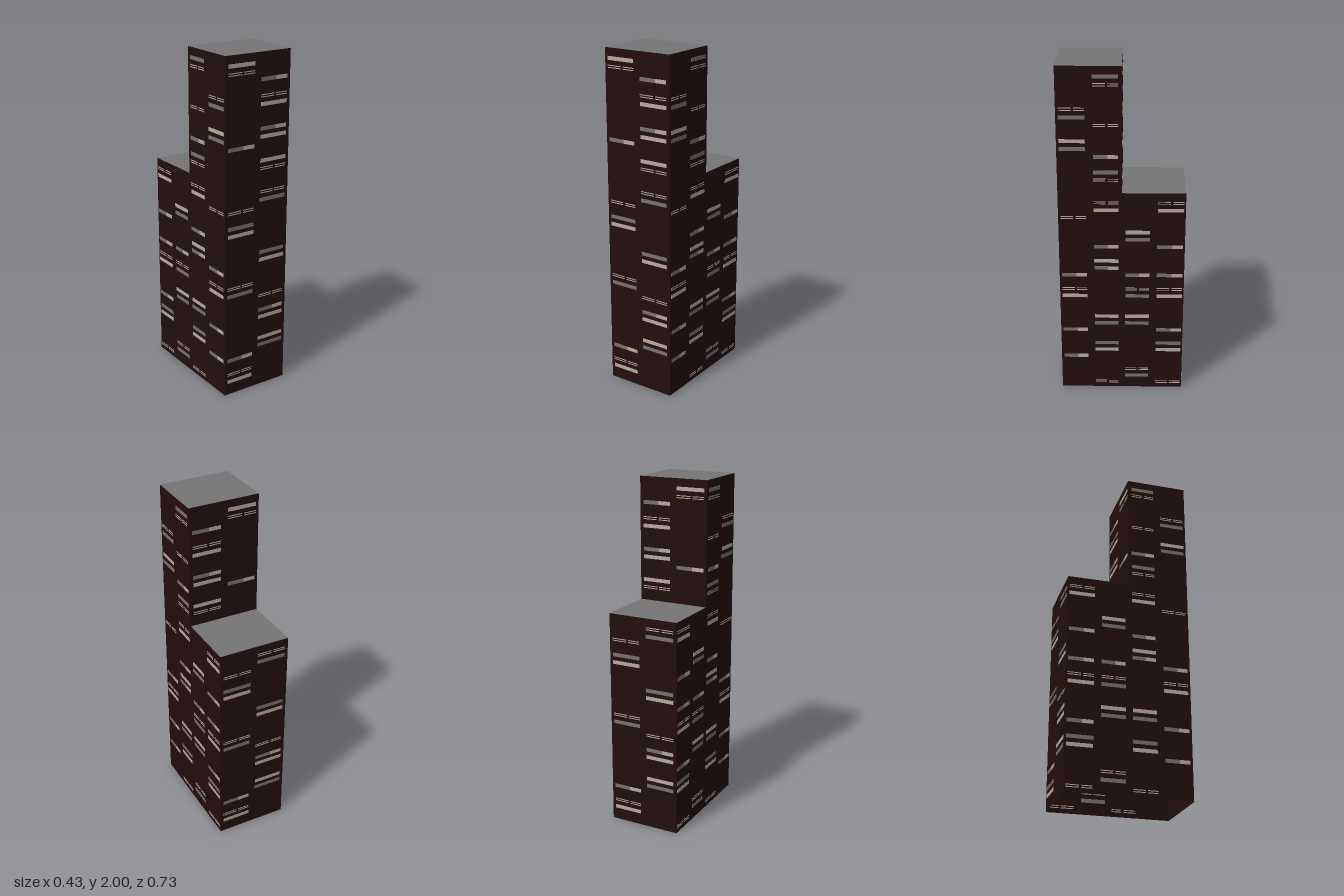
import * as THREE from 'three';
import { mergeGeometries } from 'three/addons/utils/BufferGeometryUtils.js';

const W = 0.213, D = 0.362, TALL = 2, LOW = 1.275;
const ROW = 0.0454, ROW0 = 0.036, BAR = 0.022;

// Lit window rows per column: row number + l (bright), g (grey), m (grey then bright), t (two thin lines)
const columns = {
  frontA: '42l 41t 32m 24t 22g 21l 14t 13g 4m 2t 1l',
  frontB: '40m 38t 37l 34m 33l 30l 29t 26t 25g 18g 17l 12t 10m 9l 6l 5g',
  sideA: '38t 37g 34l 33g 24t 16m 14t 13l 8m 4m',
  sideB: '42g 41t 36t 32m 30g 29t 26t 25l 20m 18l 17m 10l 9g 6g 5l 0t',
  sideC: '22l 21g 16m 14t 13g 10l 9g 2t 1g',
  sideD: '26t 25l 20m 16m 14t 13l 8m 6g 5l 0t',
};

export function createModel() {
  const group = new THREE.Group();
  const material = (name, color, side = THREE.FrontSide) => {
    const m = new THREE.MeshStandardMaterial({ color, side });
    m.name = name;
    return m;
  };
  const wallMat = material('dark brown wall', 0x230e0e, THREE.DoubleSide);
  const roofMat = material('grey roof', 0x767575, THREE.DoubleSide);
  const brightMat = material('bright window', 0xb9aaa0);
  const greyMat = material('grey window', 0x777272);

  const add = (name, geometry, mat, parent = group) => {
    const mesh = new THREE.Mesh(geometry, mat);
    mesh.name = name;
    parent.add(mesh);
    return mesh;
  };

  // Thin window plates of one facade, drawn in its own plane; cols: [key, left, right]
  function windows(name, cols, minY = 0, maxY = TALL) {
    const bright = [], grey = [];
    const bar = (list, x0, x1, y, h) =>
      list.push(new THREE.BoxGeometry(x1 - x0, h, 0.003).translate((x0 + x1) / 2, y, 0));
    for (const [key, x0, x1] of cols) {
      for (const item of columns[key].split(' ')) {
        const type = item.slice(-1), y = ROW0 + parseInt(item) * ROW;
        if (y < minY || y > maxY) continue;
        const split = x0 + (x1 - x0) * 0.58;
        if (type === 'l') bar(bright, x0, x1, y, BAR);
        if (type === 'g') bar(grey, x0, x1, y, BAR);
        if (type === 'm') {
          bar(grey, x0, split, y, BAR);
          bar(bright, split, x1, y, BAR);
        }
        if (type === 't') {
          for (const dy of [-0.006, 0.006]) {
            bar(bright, x0, split - 0.012, y + dy, 0.005);
            bar(bright, split, x1, y + dy, 0.005);
          }
        }
      }
    }
    const facade = new THREE.Group();
    facade.name = name;
    add('brightWindows', mergeGeometries(bright), brightMat, facade);
    add('greyWindows', mergeGeometries(grey), greyMat, facade);
    group.add(facade);
    return facade;
  }

  // Front and rear walls
  const crossWall = (name, y0, y1, z, back) => {
    const g = new THREE.PlaneGeometry(2 * W, y1 - y0);
    if (back) g.rotateY(Math.PI);
    add(name, g.translate(0, (y0 + y1) / 2, z), wallMat);
  };
  crossWall('frontWall', 0, TALL, D, false);
  crossWall('upperBackWall', LOW, TALL, 0, true);
  crossWall('lowerBackWall', 0, LOW, -D, true);

  // Stepped side walls, horizontal axis runs from front to back
  const step = new THREE.Shape([[-D, 0], [D, 0], [D, LOW], [0, LOW], [0, TALL], [-D, TALL]]
    .map(([x, y]) => new THREE.Vector2(x, y)));
  const rightGeo = new THREE.ShapeGeometry(step).rotateY(Math.PI / 2).translate(W, 0, 0);
  add('leftWall', rightGeo, wallMat);
  const mirrored = new THREE.Shape(step.getPoints().map(p => new THREE.Vector2(-p.x, p.y)));
  add('rightWall', new THREE.ShapeGeometry(mirrored).rotateY(-Math.PI / 2).translate(-W, 0, 0), wallMat);

  // Flat roofs on the tower and the lower block
  for (const [name, y, z] of [['towerRoof', TALL, D / 2], ['lowerRoof', LOW, -D / 2]]) {
    add(name, new THREE.PlaneGeometry(2 * W, D).rotateX(-Math.PI / 2).translate(0, y, z), roofMat);
  }

  // Window bands
  const frontCols = [['frontA', -0.195, -0.022], ['frontB', 0.02, 0.193]];
  const upperBackCols = [['frontB', -0.193, -0.02], ['frontA', 0.022, 0.195]];
  const sideCols = [['sideA', -0.348, -0.203], ['sideB', -0.16, -0.02],
    ['sideC', 0.02, 0.16], ['sideD', 0.203, 0.352]];
  windows('frontWindows', frontCols).position.z = D;

  const upperBack = windows('upperBackWindows', upperBackCols, LOW);
  upperBack.rotation.y = Math.PI;

  const lowerBack = windows('lowerBackWindows', frontCols, 0, LOW);
  lowerBack.rotation.y = Math.PI;
  lowerBack.position.z = -D;

  const leftSide = windows('leftWindows', sideCols);
  leftSide.rotation.y = Math.PI / 2;
  leftSide.position.x = W;

  const rightSide = windows('rightWindows', sideCols.map(([k, a, b]) => [k, -b, -a]));
  rightSide.rotation.y = -Math.PI / 2;
  rightSide.position.x = -W;

  return group;
}
